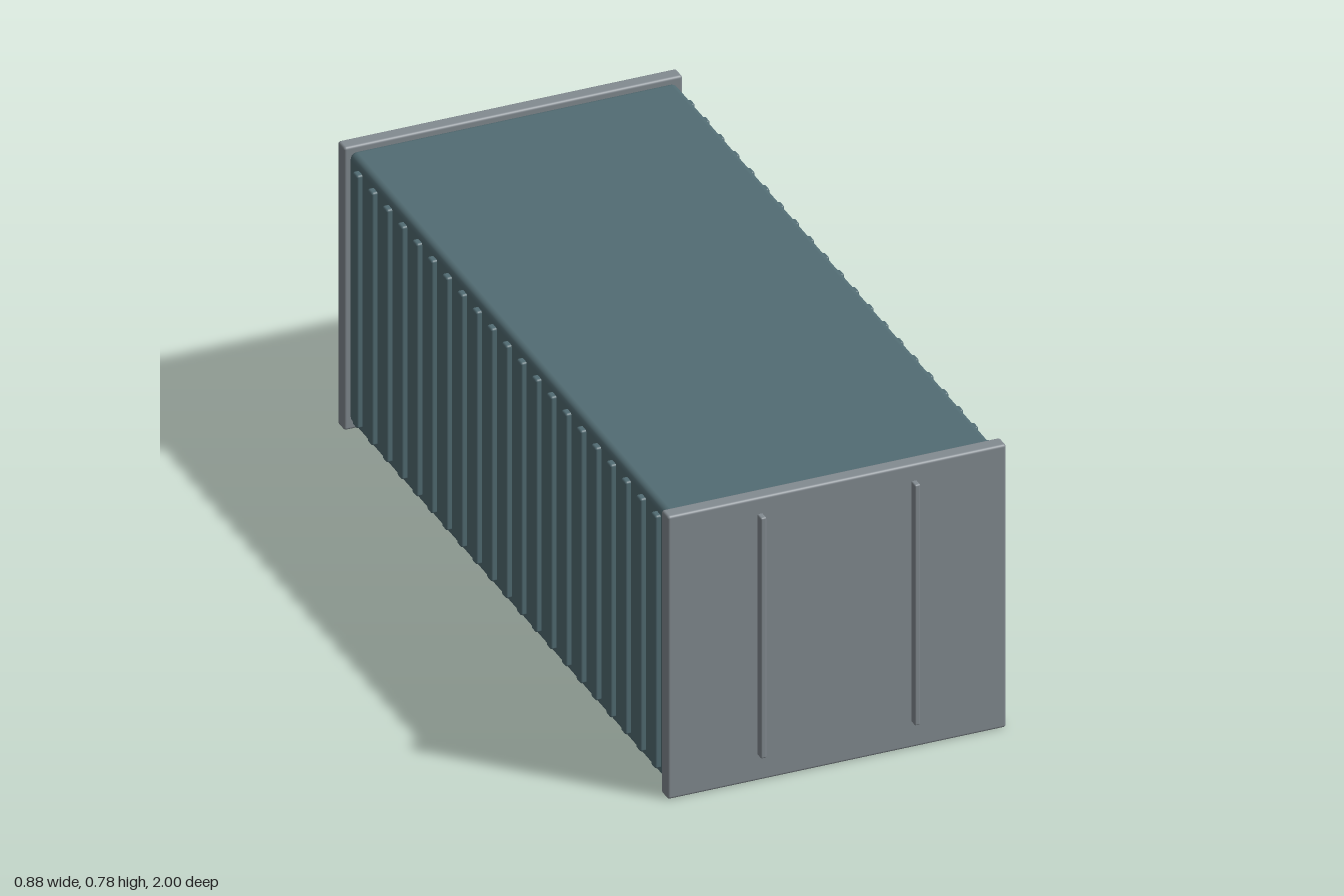
import * as THREE from 'three';
import { RoundedBoxGeometry } from 'three/addons/geometries/RoundedBoxGeometry.js';

export function createModel() {
  const model = new THREE.Group();
  model.name = 'cargoContainer';

  const paint = new THREE.MeshStandardMaterial({ color: 0x526c73 });
  paint.name = 'blue grey paint';
  const steel = new THREE.MeshStandardMaterial({ color: 0x838b91 });
  steel.name = 'light grey steel';

  // Rounded box given by its minimum and maximum corners
  function block(name, material, min, max, radius, parent = model) {
    const size = max.map((v, i) => v - min[i]);
    const mesh = new THREE.Mesh(new RoundedBoxGeometry(...size, 3, radius), material);
    mesh.position.set(...min.map((v, i) => (v + max[i]) / 2));
    mesh.name = name;
    parent.add(mesh);
    return mesh;
  }

  // Main box
  block('body', paint, [-0.425, 0.02, -0.97], [0.425, 0.76, 0.95], 0.018);

  // End panels, slightly larger than the body
  block('frontPanel', steel, [-0.44, 0, 0.938], [0.44, 0.776, 0.978], 0.007);
  block('backPanel', steel, [-0.44, 0, -1], [0.44, 0.776, -0.96], 0.007);

  // Vertical ribs along both long sides
  const ribs = new THREE.Group();
  ribs.name = 'sideRibs';
  model.add(ribs);
  const count = 21, spacing = 0.0893;
  for (const side of [-1, 1]) {
    for (let i = 0; i < count; i++) {
      const z = -0.005 + (i - (count - 1) / 2) * spacing;
      const x = side * 0.429;
      block(side > 0 ? 'leftRib' : 'rightRib', paint,
        [x - 0.011, 0.044, z - 0.014], [x + 0.011, 0.738, z + 0.014], 0.006, ribs);
    }
  }

  // Locking bars on the front
  for (const side of [-1, 1]) {
    block(side > 0 ? 'leftLockBar' : 'rightLockBar', steel,
      [side * 0.2 - 0.0075, 0.071, 0.97], [side * 0.2 + 0.0075, 0.731, 1], 0.004);
  }

  return model;
}
